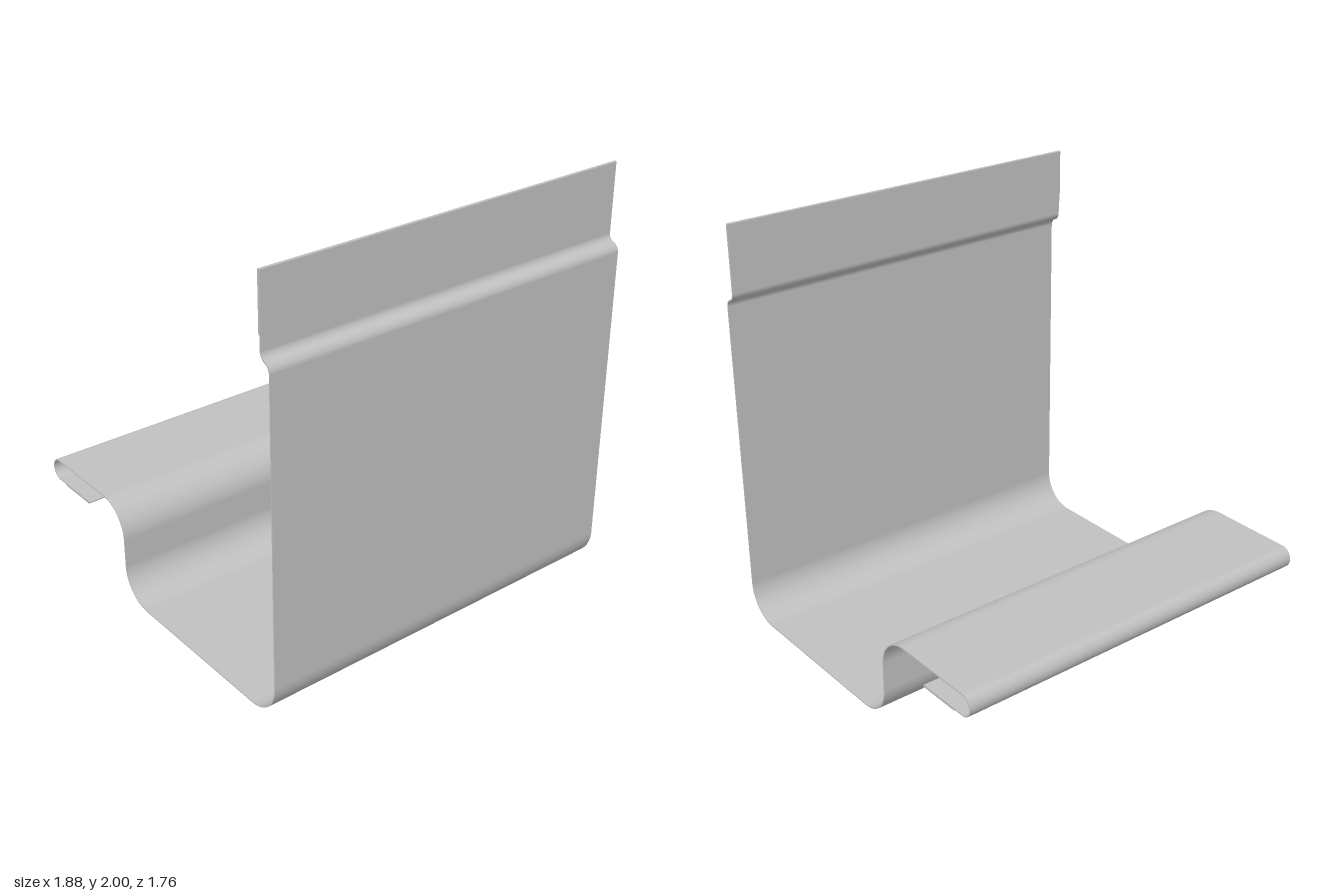
import * as THREE from 'three';

const HALF_WIDTH = 0.94;
const HALF_THICK = 0.0029;

// Traces the centre line of the bent sheet in the (z, y) plane.
function traceProfile() {
  const pts = [];
  let z = 0.819, y = 1.74, heading = Math.PI / 2;
  const add = () => pts.push({ z, y, nz: -Math.sin(heading), ny: Math.cos(heading) });
  const line = (length) => {
    z += Math.cos(heading) * length;
    y += Math.sin(heading) * length;
    add();
  };
  // positive degrees turn left, negative turn right
  const bend = (radius, degrees, steps = 12) => {
    const side = Math.sign(degrees);
    const cz = z - Math.sin(heading) * radius * side;
    const cy = y + Math.cos(heading) * radius * side;
    for (let i = 0; i < steps; i++) {
      heading += THREE.MathUtils.degToRad(degrees) / steps;
      z = cz + Math.sin(heading) * radius * side;
      y = cy - Math.cos(heading) * radius * side;
      add();
    }
  };
  add();
  line(0.257);            // folded hem behind the upper flange
  bend(0.003, -180, 8);
  line(0.32);             // upper flange
  bend(0.0395, 71.5);     // offset step
  bend(0.0395, -71.5);
  line(y - 0.168);        // tall front wall
  bend(0.165, -90, 20);
  line(z + 0.097);        // floor
  bend(0.16, -90, 20);
  line(0.14);             // low rear wall
  bend(0.16, 90, 20);
  line(z + 0.826);        // rear shelf
  bend(0.051, 180, 24);   // rounded rear lip
  line(-0.563 - z);
  bend(0.003, -180, 8);   // hem folded under the lip
  line(z + 0.77);
  return pts;
}

// Gives the profile thickness and sweeps it across the width.
function sheetGeometry(profile) {
  const pos = [], nor = [], index = [];
  const quad = (corners, normals) => {
    const b = pos.length / 3;
    corners.forEach((c, i) => { pos.push(...c); nor.push(...normals[i]); });
    index.push(b, b + 1, b + 2, b, b + 2, b + 3);
  };
  const at = (p, side, x) => [x, p.y + p.ny * HALF_THICK * side, p.z + p.nz * HALF_THICK * side];
  const normal = (p, side) => [0, p.ny * side, p.nz * side];
  const W = HALF_WIDTH;

  for (let i = 0; i < profile.length - 1; i++) {
    const p = profile[i], q = profile[i + 1];
    // both faces of the sheet
    for (const s of [1, -1]) {
      quad([at(p, s, W * s), at(p, s, -W * s), at(q, s, -W * s), at(q, s, W * s)],
        [normal(p, s), normal(p, s), normal(q, s), normal(q, s)]);
    }
    // cut edges at the left and right
    for (const s of [1, -1]) {
      const n = [s, 0, 0];
      quad([at(p, -s, W * s), at(p, s, W * s), at(q, s, W * s), at(q, -s, W * s)], [n, n, n, n]);
    }
  }
  // closing strips at the two free ends
  [[profile[0], 1], [profile[profile.length - 1], -1]].forEach(([p, s]) => {
    const n = [0, p.nz * s, -p.ny * s];
    quad([at(p, s, -W), at(p, s, W), at(p, -s, W), at(p, -s, -W)], [n, n, n, n]);
  });

  const g = new THREE.BufferGeometry();
  g.setAttribute('position', new THREE.Float32BufferAttribute(pos, 3));
  g.setAttribute('normal', new THREE.Float32BufferAttribute(nor, 3));
  g.setIndex(index);
  return g;
}

export function createModel() {
  const group = new THREE.Group();
  group.name = 'foldedMetalTrim';
  const metal = new THREE.MeshStandardMaterial({ color: 0xc0c0c0, side: THREE.DoubleSide });
  metal.name = 'plain grey metal';
  const sheet = new THREE.Mesh(sheetGeometry(traceProfile()), metal);
  sheet.name = 'bentSheet';
  group.add(sheet);
  return group;
}
